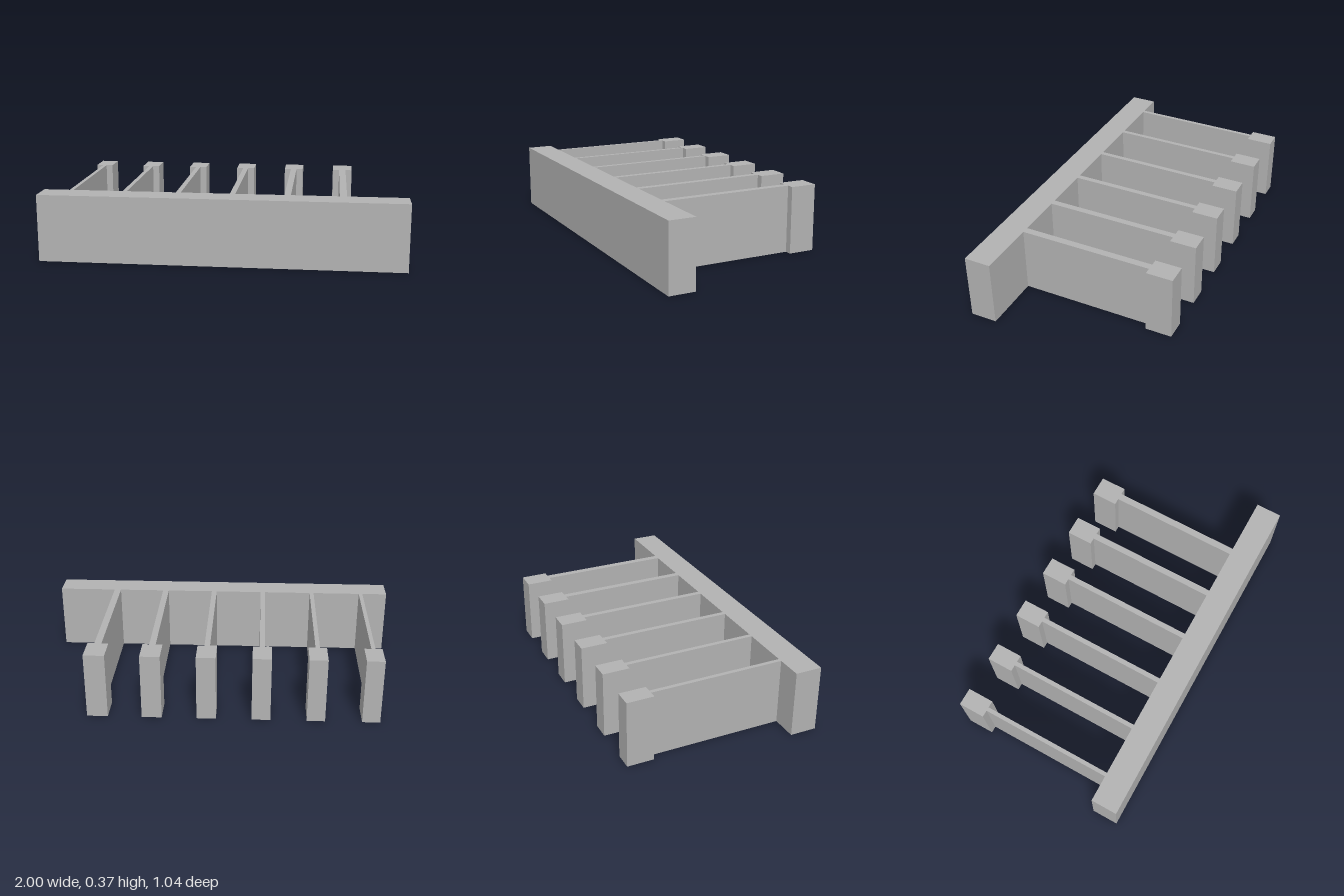
import * as THREE from 'three';

const HEIGHT = 0.372;
const HALF_DEPTH = 0.52;
const FLANGE = 0.148; // depth of the front wall and of the end blocks

export function createModel() {
  const model = new THREE.Group();
  model.name = 'ribbedBar';

  const grey = new THREE.MeshStandardMaterial({ color: 0xb2b2b2 });
  grey.name = 'grey';

  // Full-height box between z0 and z1
  const addBox = (parent, name, x, width, z0, z1) => {
    const mesh = new THREE.Mesh(new THREE.BoxGeometry(width, HEIGHT, z1 - z0), grey);
    mesh.name = name;
    mesh.position.set(x, HEIGHT / 2, (z0 + z1) / 2);
    parent.add(mesh);
  };

  // Long front wall
  addBox(model, 'frontWall', 0, 2, HALF_DEPTH - FLANGE, HALF_DEPTH);

  // Six T-shaped ribs, growing thicker towards +x
  const webWidths = [0.022, 0.024, 0.027, 0.03, 0.035, 0.039];
  const blockWidths = [0.098, 0.1, 0.103, 0.106, 0.11, 0.115];
  webWidths.forEach((webWidth, i) => {
    const x = -0.844 + i * 0.2988;
    const rib = new THREE.Group();
    rib.name = `rib${i + 1}`;
    addBox(rib, 'web', x, webWidth, FLANGE - HALF_DEPTH, HALF_DEPTH - FLANGE);
    addBox(rib, 'endBlock', x, blockWidths[i], -HALF_DEPTH, FLANGE - HALF_DEPTH);
    model.add(rib);
  });

  return model;
}
